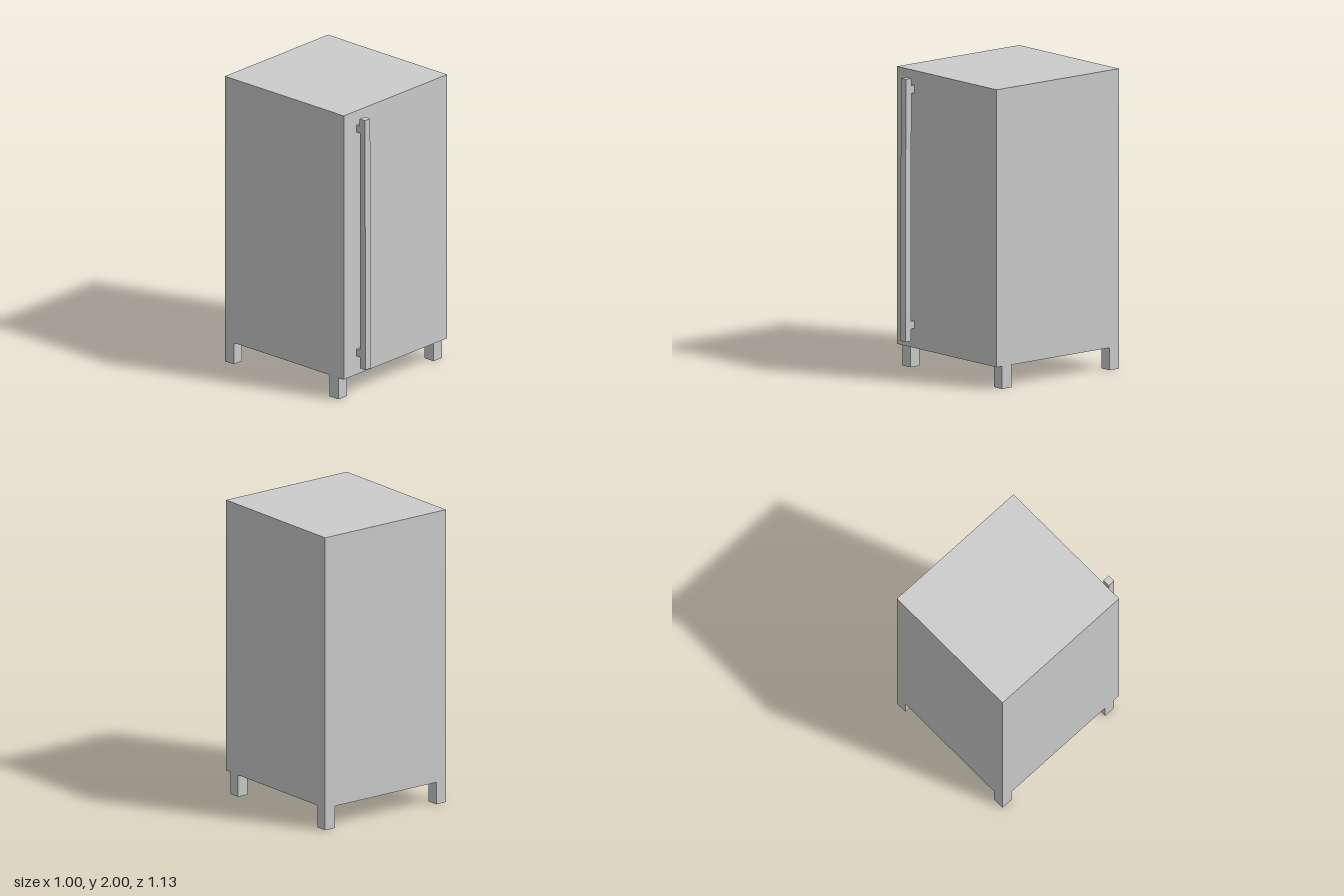
import * as THREE from 'three';

const material = new THREE.MeshStandardMaterial({ color: 0xcccccc, flatShading: true });

// Box given by its minimum and maximum corners
function box(name, [x0, y0, z0], [x1, y1, z1]) {
  const mesh = new THREE.Mesh(new THREE.BoxGeometry(x1 - x0, y1 - y0, z1 - z0), material);
  mesh.position.set((x0 + x1) / 2, (y0 + y1) / 2, (z0 + z1) / 2);
  mesh.name = name;
  return mesh;
}

export function createModel() {
  const model = new THREE.Group();
  model.name = 'cabinet';

  // Main body
  model.add(box('body', [-0.5, 0.15, -0.565], [0.5, 2, 0.486]));

  // Four square legs: rear pair flush with the back, front pair set in
  const leg = 0.08;
  for (const [row, z] of [['front', 0.36], ['back', -0.565]]) {
    for (const [side, x] of [['Left', 0.5 - leg], ['Right', -0.5]]) {
      model.add(box(row + side + 'Leg', [x, 0, z], [x + leg, 0.15, z + leg]));
    }
  }

  // Long door handle, leaning in very slightly at the top, on two brackets
  const handle = new THREE.Group();
  handle.name = 'handle';
  const bar = box('handleBar', [-0.375, 0.2, 0.515], [-0.325, 1.95, 0.562]);
  bar.rotation.x = -0.0025;
  handle.add(bar);
  for (const [name, y] of [['upperBracket', 1.85], ['lowerBracket', 0.28]]) {
    handle.add(box(name, [-0.375, y, 0.48], [-0.325, y + 0.05, 0.525]));
  }
  model.add(handle);

  return model;
}
